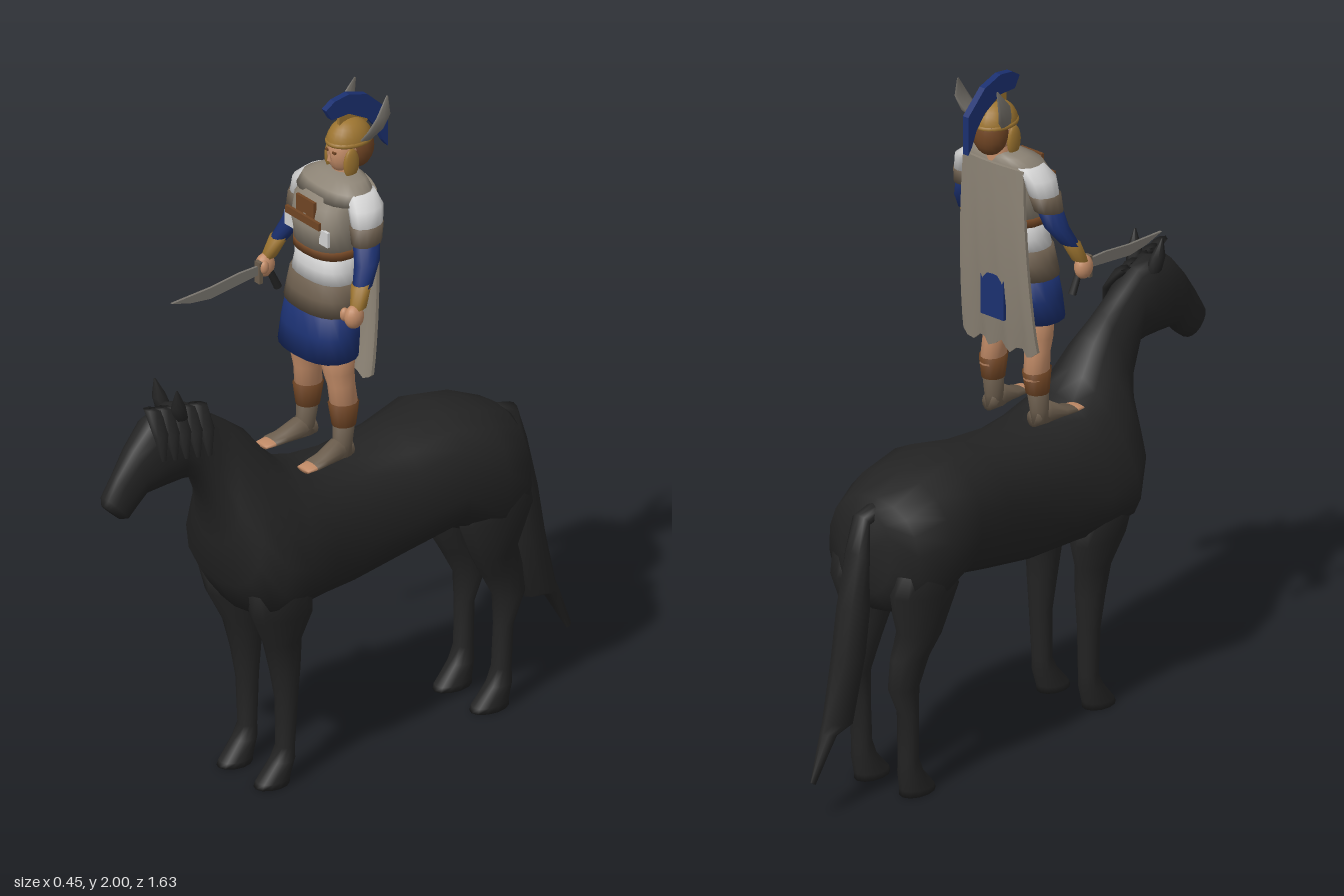
import * as THREE from 'three';

const mat = (name, color) => {
  const m = new THREE.MeshStandardMaterial({ color });
  m.name = name;
  return m;
};

export function createModel() {
  const M = {
    black: mat('horse black', 0x232323),
    skin: mat('skin', 0xc08a66),
    blue: mat('blue cloth', 0x1b3070),
    white: mat('white cloth', 0xd2d2d2),
    taupe: mat('taupe cloth', 0x8c8375),
    leather: mat('grey leather', 0x6a5c4c),
    brown: mat('brown leather', 0x704524),
    gold: mat('gold', 0x9c7430),
    steel: mat('steel', 0x77736c),
  };
  const root = new THREE.Group();
  root.name = 'standingRider';
  const horse = new THREE.Group(); horse.name = 'horse';
  const rider = new THREE.Group(); rider.name = 'rider';
  root.add(horse, rider);

  const add = (group, name, geo, material) => {
    const m = new THREE.Mesh(geo, material);
    m.name = name;
    group.add(m);
    return m;
  };

  // Skin over rings; each section: [x, halfWidth, zA, yA, zB, yB, taper towards A]
  function loft(sections, n = 14, power = 2, side = 1) {
    const pos = [], idx = [];
    const soft = (v) => Math.sign(v) * Math.abs(v) ** (2 / power);
    for (const [x, w, zA, yA, zB, yB, taper = 0] of sections) {
      for (let i = 0; i < n; i++) {
        const a = (i / n) * Math.PI * 2, c = soft(Math.cos(a)), s = soft(Math.sin(a));
        pos.push(side * x + w * s * (1 - taper * c),
          (yA + yB) / 2 + c * (yA - yB) / 2, (zA + zB) / 2 + c * (zA - zB) / 2);
      }
    }
    const last = sections.length - 1;
    for (const k of [0, last]) {
      const [x, , zA, yA, zB, yB] = sections[k];
      pos.push(side * x, (yA + yB) / 2, (zA + zB) / 2);
    }
    const c0 = n * (last + 1);
    for (let i = 0; i < n; i++) {
      const j = (i + 1) % n;
      for (let k = 0; k < last; k++) {
        const a = k * n + i, b = k * n + j;
        idx.push(a, b, a + n, b, b + n, a + n);
      }
      idx.push(c0, j, i, c0 + 1, last * n + i, last * n + j);
    }
    // Turn the faces outward when the signed volume is negative
    const v = (i) => new THREE.Vector3().fromArray(pos, i * 3);
    let volume = 0;
    for (let i = 0; i < idx.length; i += 3) volume += v(idx[i]).dot(v(idx[i + 1]).cross(v(idx[i + 2])));
    if (volume < 0) idx.reverse();
    const g = new THREE.BufferGeometry();
    g.setAttribute('position', new THREE.Float32BufferAttribute(pos, 3));
    g.setIndex(idx);
    g.computeVertexNormals();
    return g;
  }

  // Flat side outline given as [z, y], centred on x
  function plate(points, x, thick) {
    const shape = new THREE.Shape(points.map(([z, y]) => new THREE.Vector2(z, y)));
    return new THREE.ExtrudeGeometry(shape, { depth: thick, bevelEnabled: false })
      .rotateY(-Math.PI / 2).translate(x + thick / 2, 0, 0);
  }
  const ball = (x, y, z, rx, ry, rz) => new THREE.SphereGeometry(1, 16, 12).scale(rx, ry, rz).translate(x, y, z);
  const box = (x, y, z, w, h, d) => new THREE.BoxGeometry(w, h, d).translate(x, y, z);

  // ---- Horse: trunk, neck and head in one skin
  add(horse, 'horseBody', loft([
    [0, 0.09, -0.575, 0.86, -0.588, 0.62], [0, 0.165, -0.54, 0.89, -0.555, 0.56],
    [0, 0.2, -0.44, 0.935, -0.45, 0.53], [0, 0.193, -0.31, 0.96, -0.32, 0.59],
    [0, 0.167, -0.17, 0.93, -0.15, 0.55], [0, 0.16, 0, 0.912, 0.03, 0.515],
    [0, 0.17, 0.12, 0.918, 0.14, 0.51], [0, 0.187, 0.21, 0.945, 0.25, 0.512, 0.15],
    [0, 0.187, 0.27, 1.0, 0.36, 0.535, 0.4], [0, 0.15, 0.33, 1.075, 0.425, 0.635, 0.45],
    [0, 0.095, 0.395, 1.125, 0.437, 0.76, 0.35], [0, 0.068, 0.46, 1.17, 0.46, 0.865, 0.2],
    [0, 0.06, 0.53, 1.22, 0.51, 0.99], [0, 0.064, 0.59, 1.237, 0.56, 0.998],
    [0, 0.062, 0.67, 1.21, 0.62, 0.996], [0, 0.05, 0.73, 1.14, 0.685, 0.99],
    [0, 0.038, 0.78, 1.07, 0.715, 0.955], [0, 0.04, 0.815, 1.01, 0.745, 0.932],
    [0, 0.025, 0.818, 0.985, 0.77, 0.937],
  ], 18, 2.25), M.black);

  add(horse, 'tail', loft([
    [0, 0.025, -0.54, 0.83, -0.55, 0.88], [0, 0.03, -0.59, 0.825, -0.612, 0.862],
    [0, 0.04, -0.59, 0.72, -0.645, 0.76], [0, 0.045, -0.585, 0.58, -0.685, 0.6],
    [0, 0.042, -0.6, 0.45, -0.712, 0.45], [0, 0.034, -0.65, 0.25, -0.752, 0.28],
    [0, 0.026, -0.715, 0.24, -0.762, 0.25], [0, 0.006, -0.795, 0.108, -0.812, 0.12],
  ], 10), M.black);

  const hindLeg = [
    [0.11, 0.07, -0.35, 0.76, -0.56, 0.76], [0.105, 0.075, -0.34, 0.61, -0.585, 0.63],
    [0.095, 0.058, -0.395, 0.485, -0.54, 0.5], [0.088, 0.045, -0.43, 0.42, -0.565, 0.43],
    [0.088, 0.04, -0.475, 0.34, -0.575, 0.34], [0.088, 0.033, -0.48, 0.25, -0.535, 0.255],
    [0.085, 0.031, -0.475, 0.12, -0.53, 0.11], [0.085, 0.036, -0.455, 0.07, -0.532, 0.07],
    [0.083, 0.04, -0.405, 0.015, -0.523, 0.02], [0.083, 0.04, -0.4, 0, -0.523, 0],
  ];
  const foreLeg = [
    [0.11, 0.075, 0.41, 0.68, 0.19, 0.68], [0.1, 0.065, 0.375, 0.54, 0.18, 0.52],
    [0.09, 0.046, 0.325, 0.44, 0.207, 0.44], [0.088, 0.042, 0.3, 0.35, 0.21, 0.35],
    [0.088, 0.034, 0.282, 0.255, 0.217, 0.255], [0.085, 0.031, 0.277, 0.11, 0.225, 0.11],
    [0.085, 0.036, 0.297, 0.07, 0.225, 0.07], [0.083, 0.04, 0.345, 0.015, 0.24, 0.02],
    [0.083, 0.04, 0.352, 0, 0.242, 0],
  ];
  for (const s of [1, -1]) {
    add(horse, 'hindLeg', loft(hindLeg, 12, 2, s), M.black);
    add(horse, 'foreLeg', loft(foreLeg, 12, 2, s), M.black);
    add(horse, 'horseEar', loft([
      [0.035, 0.022, 0.605, 1.2, 0.555, 1.2], [0.043, 0.02, 0.612, 1.24, 0.57, 1.245],
      [0.05, 0.003, 0.604, 1.295, 0.598, 1.295]], 8, 2, s), M.black);
  }
  // Short mane locks lying on the left of the head and neck
  for (let i = 0; i < 5; i++) {
    const z = 0.5 + i * 0.04, y = 1.2 + 0.008 * i;
    add(horse, 'maneLock', loft([
      [0.015, 0.02, z + 0.03, y + 0.02, z - 0.03, y + 0.005],
      [0.062, 0.012, z + 0.03, y - 0.05, z - 0.02, y - 0.05],
      [0.078, 0.004, z + 0.015, y - 0.12, z, y - 0.12]], 8), M.black);
  }

  // ---- Rider: torso as stacked garments, rows of [y, halfWidth, zFront, zBack]
  const garment = (name, rows, material) => add(rider, name,
    loft(rows.map(([y, w, f, b]) => [0, w, f, y, b, y]), 20, 2.4), material);
  garment('skirt', [[1.25, 0.133, 0.155, -0.015], [1.32, 0.13, 0.146, -0.022], [1.395, 0.121, 0.132, -0.025]], M.blue);
  garment('sash', [[1.385, 0.127, 0.138, -0.03], [1.43, 0.121, 0.13, -0.03], [1.475, 0.114, 0.122, -0.03]], M.leather);
  garment('tunicWaist', [[1.465, 0.112, 0.119, -0.03], [1.51, 0.103, 0.112, -0.032], [1.57, 0.1, 0.112, -0.04]], M.white);
  garment('belt', [[1.55, 0.104, 0.118, -0.042], [1.575, 0.104, 0.12, -0.045]], M.brown);
  garment('cuirass', [[1.57, 0.1, 0.117, -0.043], [1.64, 0.107, 0.126, -0.052], [1.7, 0.11, 0.11, -0.056],
    [1.735, 0.1, 0.075, -0.056]], M.taupe);
  garment('collar', [[1.715, 0.127, 0.092, -0.066], [1.745, 0.12, 0.07, -0.065], [1.765, 0.085, 0.035, -0.06],
    [1.775, 0.045, 0.015, -0.05]], M.taupe);
  // Chest straps and buckle
  add(rider, 'chestBand', box(0, 1.662, 0.122, 0.15, 0.022, 0.009), M.brown);
  add(rider, 'chestPlate', box(0, 1.69, 0.112, 0.08, 0.06, 0.009).rotateX(0), M.brown);
  for (const s of [1, -1]) add(rider, 'chestSide', box(s * 0.077, 1.625, 0.108, 0.038, 0.045, 0.009), M.white);

  // Cape: a thin sheet that widens, bows and hangs in folds
  const cape = new THREE.BoxGeometry(1, 1, 0.01, 14, 10, 1);
  const cp = cape.attributes.position;
  for (let i = 0; i < cp.count; i++) {
    const u = cp.getX(i), t = 0.5 - cp.getY(i);
    const hem = t > 0.99 ? 0.012 * Math.cos(u * 25) : 0;
    cp.setXYZ(i, u * (0.22 + 0.05 * t),
      1.75 - 0.575 * t + hem - 0.04 * u * u * (1 - t),
      cp.getZ(i) - 0.07 + 0.055 * t * t + 0.1 * u * u * (1 - t) + 0.005 * t * Math.cos(u * 22));
  }
  cape.computeVertexNormals();
  add(rider, 'cape', cape, M.taupe);
  add(rider, 'capePatch', box(0, 1.335, -0.05, 0.085, 0.13, 0.009).rotateX(0), M.blue);

  for (const s of [1, -1]) {
    const limb = (name, secs, material, n = 12) => add(rider, name, loft(secs, n, 2, s), material);
    // Arm from shoulder to fist
    limb('sleeve', [[0.095, 0.03, 0.04, 1.745, -0.05, 1.745], [0.125, 0.04, 0.055, 1.71, -0.052, 1.715],
      [0.14, 0.037, 0.055, 1.65, -0.04, 1.66]], M.white);
    limb('sleeveCuff', [[0.138, 0.041, 0.06, 1.662, -0.043, 1.668], [0.147, 0.039, 0.06, 1.61, -0.03, 1.62]], M.leather);
    limb('blueSleeve', [[0.146, 0.034, 0.056, 1.625, -0.025, 1.63], [0.165, 0.033, 0.065, 1.56, -0.01, 1.57],
      [0.187, 0.027, 0.09, 1.5, 0.03, 1.515]], M.blue);
    limb('bracer', [[0.184, 0.028, 0.092, 1.51, 0.03, 1.525], [0.2, 0.022, 0.11, 1.45, 0.06, 1.46]], M.gold);
    add(rider, 'hand', ball(s * 0.2, 1.43, 0.1, 0.024, 0.035, 0.03), M.skin);
    add(rider, 'thumb', ball(s * 0.18, 1.435, 0.118, 0.012, 0.02, 0.014), M.skin);
    // Leg, boot and foot
    limb('leg', [[0.065, 0.05, 0.115, 1.29, 0, 1.29], [0.072, 0.043, 0.1, 1.2, 0.01, 1.2],
      [0.076, 0.035, 0.09, 1.16, 0.008, 1.16], [0.08, 0.034, 0.082, 1.08, -0.002, 1.08]], M.skin);
    limb('bootTop', [[0.079, 0.038, 0.09, 1.105, -0.004, 1.1], [0.081, 0.033, 0.078, 1.035, 0.008, 1.035]], M.brown);
    limb('bootShaft', [[0.081, 0.031, 0.076, 1.045, 0.01, 1.045], [0.083, 0.026, 0.078, 0.98, 0.02, 0.98],
      [0.084, 0.028, 0.09, 0.945, 0.02, 0.945]], M.leather);
    limb('sandal', [[0.082, 0.022, 0.025, 0.985, 0.02, 0.935], [0.084, 0.028, 0.08, 0.998, 0.06, 0.932],
      [0.09, 0.03, 0.13, 0.968, 0.125, 0.935], [0.093, 0.032, 0.165, 0.957, 0.165, 0.937]], M.leather);
    limb('toes', [[0.093, 0.03, 0.162, 0.956, 0.162, 0.937], [0.094, 0.026, 0.195, 0.95, 0.197, 0.937]], M.skin);
    // Helmet cheek guard and side feather
    add(rider, 'cheekGuard', ball(s * 0.043, 1.805, -0.012, 0.011, 0.045, 0.026), M.gold);
    limb('helmetWing', [[0.052, 0.006, -0.035, 1.87, -0.075, 1.865], [0.068, 0.007, -0.05, 1.9, -0.105, 1.895],
      [0.08, 0.005, -0.07, 1.94, -0.12, 1.94], [0.072, 0.002, -0.112, 1.995, -0.118, 1.993]], M.steel, 8);
    add(rider, 'eye', box(s * 0.016, 1.838, 0.0265, 0.012, 0.006, 0.006), M.brown);
  }

  // Head and helmet
  add(rider, 'neck', new THREE.CylinderGeometry(0.034, 0.042, 0.08, 14).translate(0, 1.77, -0.025), M.skin);
  add(rider, 'face', ball(0, 1.825, -0.022, 0.043, 0.064, 0.052), M.skin);
  add(rider, 'nose', new THREE.ConeGeometry(0.008, 0.028, 6).translate(0, 1.825, 0.03), M.skin);
  add(rider, 'hair', ball(0, 1.835, -0.062, 0.052, 0.068, 0.05), M.brown);
  add(rider, 'helmetBowl', new THREE.SphereGeometry(1, 20, 8, 0, Math.PI * 2, 0, Math.PI / 2)
    .scale(0.055, 0.068, 0.07).translate(0, 1.855, -0.038), M.gold);
  add(rider, 'helmetBand', new THREE.TorusGeometry(1, 0.1, 8, 24).rotateX(Math.PI / 2)
    .scale(0.052, 0.075, 0.066).translate(0, 1.86, -0.038), M.gold);
  add(rider, 'crestHolder', plate([[0, 1.9], [0, 1.945], [-0.06, 1.935], [-0.1, 1.9], [-0.08, 1.885]], 0, 0.012), M.gold);
  add(rider, 'crest', plate([[0.05, 1.972], [0.02, 1.992], [-0.03, 2], [-0.095, 1.98], [-0.165, 1.915],
    [-0.165, 1.8], [-0.15, 1.82], [-0.13, 1.865], [-0.095, 1.905], [-0.03, 1.94], [0.03, 1.938]], 0, 0.02), M.blue);

  // Curved sword in the right hand
  add(rider, 'swordBlade', plate([[0.12, 1.44], [0.2, 1.438], [0.3, 1.425], [0.36, 1.422], [0.435, 1.418],
    [0.37, 1.4], [0.3, 1.392], [0.24, 1.4], [0.12, 1.415]], -0.19, 0.008), M.steel);
  add(rider, 'swordGuard', box(-0.19, 1.42, 0.13, 0.022, 0.065, 0.012), M.leather);
  add(rider, 'swordGrip', new THREE.CylinderGeometry(0.009, 0.012, 0.1, 10).rotateX(0.45)
    .translate(-0.19, 1.4, 0.085), M.black);

  return root;
}
